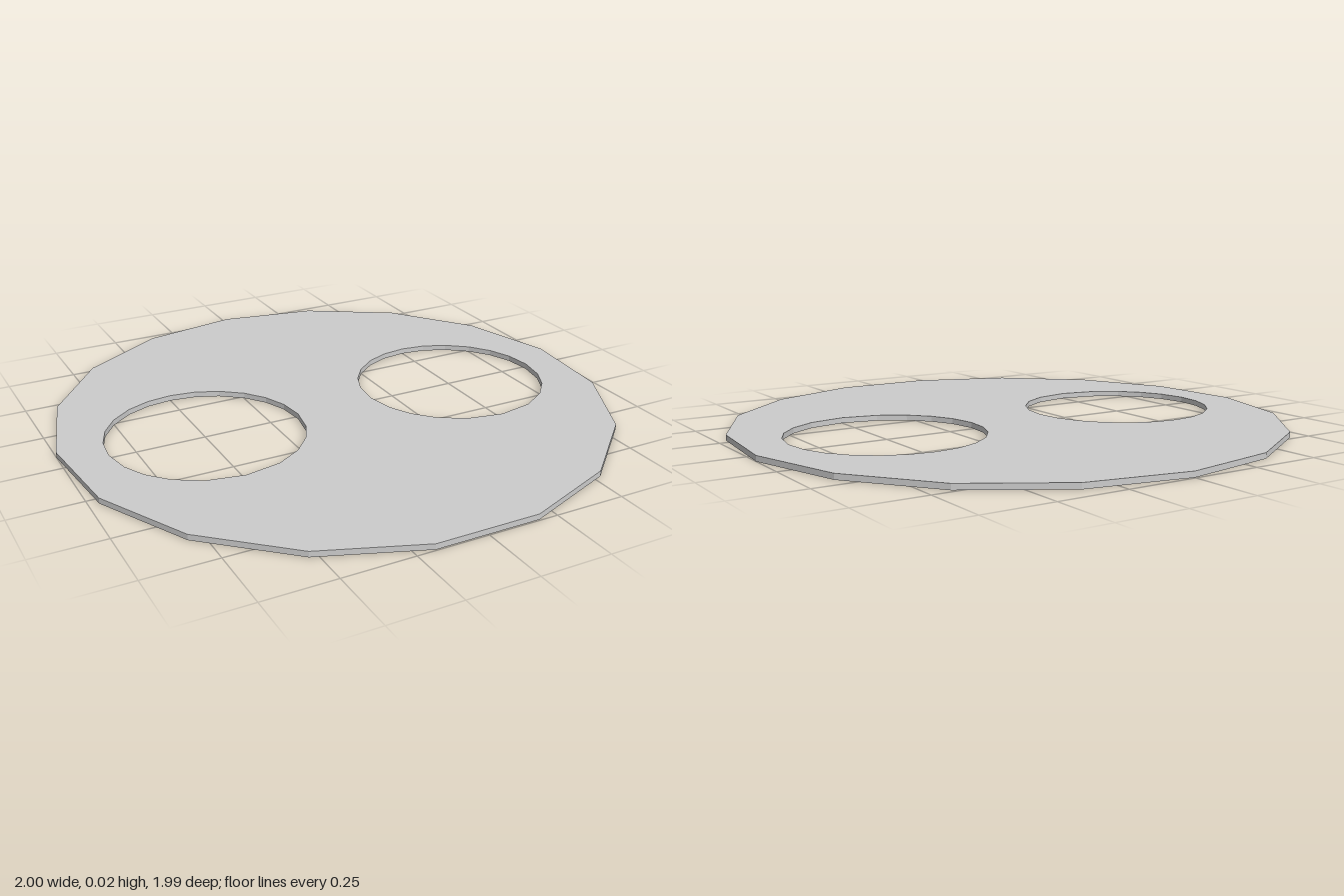
import * as THREE from 'three';

const SIDES = 17, RADIUS = 1.0043, THICKNESS = 0.02;
const OFFSET = 0.0086; // centres the odd-sided outline on z = 0
// half of the hole outline, degrees from the back round to the front
const HOLE_ANGLES = [0, 15, 30, 46, 61, 76, 92, 109, 124, 140, 158, 180];

// point on a circle, angle measured from the back (-z); shape y is -z
function polar(cx, z, r, angle) {
  return new THREE.Vector2(cx + r * Math.sin(angle), r * Math.cos(angle) - z);
}

export function createModel() {
  const group = new THREE.Group();
  const material = new THREE.MeshStandardMaterial({ color: 0xcccccc, flatShading: true });

  // seventeen-sided outline with one corner at the back
  const outline = [];
  for (let i = 0; i < SIDES; i++) outline.push(polar(0, OFFSET, RADIUS, -i * 2 * Math.PI / SIDES));
  const shape = new THREE.Shape(outline);

  // two mirrored round holes
  const angles = [...HOLE_ANGLES, ...HOLE_ANGLES.slice(1, -1).reverse().map(a => 360 - a)];
  for (const side of [-1, 1]) {
    const points = angles.map(a => polar(side * 0.5, 0.006, 0.35, THREE.MathUtils.degToRad(a)));
    shape.holes.push(new THREE.Path(points));
  }

  // flat plate lying on the ground
  const geometry = new THREE.ExtrudeGeometry(shape, { depth: THICKNESS, bevelEnabled: false });
  geometry.rotateX(-Math.PI / 2);
  const plate = new THREE.Mesh(geometry, material);
  plate.name = 'plateWithTwoHoles';
  group.add(plate);
  return group;
}
